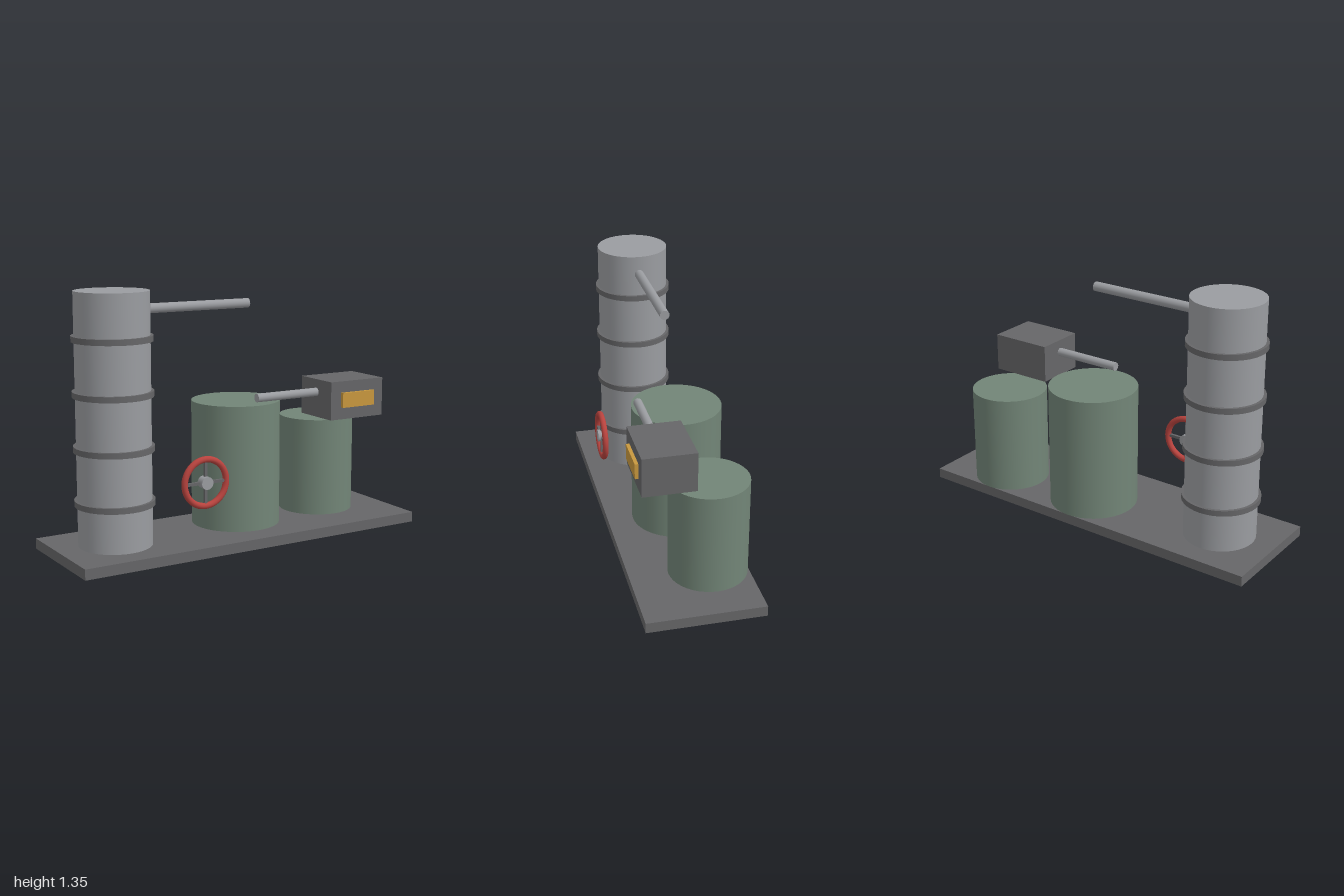
import * as THREE from 'three';

const mat = (name, color) => {
  const m = new THREE.MeshStandardMaterial({ color });
  m.name = name;
  return m;
};

export function createModel() {
  const steel = mat('steel grey', 0x9a9ca0);
  const dark = mat('dark grey', 0x666668);
  const green = mat('tank green', 0x728577);
  const red = mat('valve red', 0xb8433e);
  const amber = mat('amber', 0xc8983e);

  const model = new THREE.Group();
  model.name = 'processPlant';

  const add = (name, geometry, material, x, y, z, parent = model) => {
    const mesh = new THREE.Mesh(geometry, material);
    mesh.name = name;
    mesh.position.set(x, y, z);
    parent.add(mesh);
    return mesh;
  };
  const box = (w, h, d) => new THREE.BoxGeometry(w, h, d);
  const cylinder = (r, h, sides = 40) => new THREE.CylinderGeometry(r, r, h, sides);

  // Horizontal pipe running from x0 to x1
  const pipe = (name, x0, x1, y, z, r) =>
    add(name, cylinder(r, x1 - x0, 16).rotateZ(Math.PI / 2), steel, (x0 + x1) / 2, y, z);

  const deck = 0.055;
  add('base', box(2, deck, 0.61), dark, 0, deck / 2, 0);

  // Tall column with four evenly spaced bands
  const columnX = -0.69, columnTop = 1.345;
  add('column', cylinder(0.19, columnTop - deck), steel, columnX, (columnTop + deck) / 2, 0);
  for (let i = 0; i < 4; i++) {
    add('columnBand', cylinder(0.205, 0.03), dark, columnX, 0.279 + i * 0.277, 0);
  }
  pipe('columnPipe', -0.52, 0.1, 1.246, 0, 0.025);

  // Storage tanks: x, z, radius, top
  for (const [name, x, z, r, top] of [
    ['largeTank', 0.068, -0.07, 0.238, 0.725],
    ['smallTank', 0.62, -0.102, 0.205, 0.588],
  ]) {
    add(name, cylinder(r, top - deck), green, x, (top + deck) / 2, z);
  }

  // Control box with its plate and pipe
  add('controlBox', box(0.34, 0.205, 0.273), dark, 0.62, 0.728, 0.1375);
  add('controlPlate', box(0.207, 0.08, 0.018), amber, 0.619, 0.73, 0.283);
  pipe('controlPipe', 0.07, 0.46, 0.761, 0.137, 0.023);

  // Valve wheel: rim, hub and crossed spokes
  const wheel = new THREE.Group();
  wheel.name = 'valveWheel';
  wheel.position.set(-0.313, 0.383, 0.263);
  model.add(wheel);
  add('wheelRim', new THREE.TorusGeometry(0.12, 0.0165, 12, 40), red, 0, 0, 0, wheel);
  add('wheelHub', cylinder(0.033, 0.046, 20).rotateX(Math.PI / 2), steel, 0, 0, 0, wheel);
  for (let i = 0; i < 2; i++) {
    add('wheelSpoke', box(0.24, 0.015, 0.015), dark, 0, 0, 0, wheel).rotation.z = i * Math.PI / 2;
  }

  return model;
}
